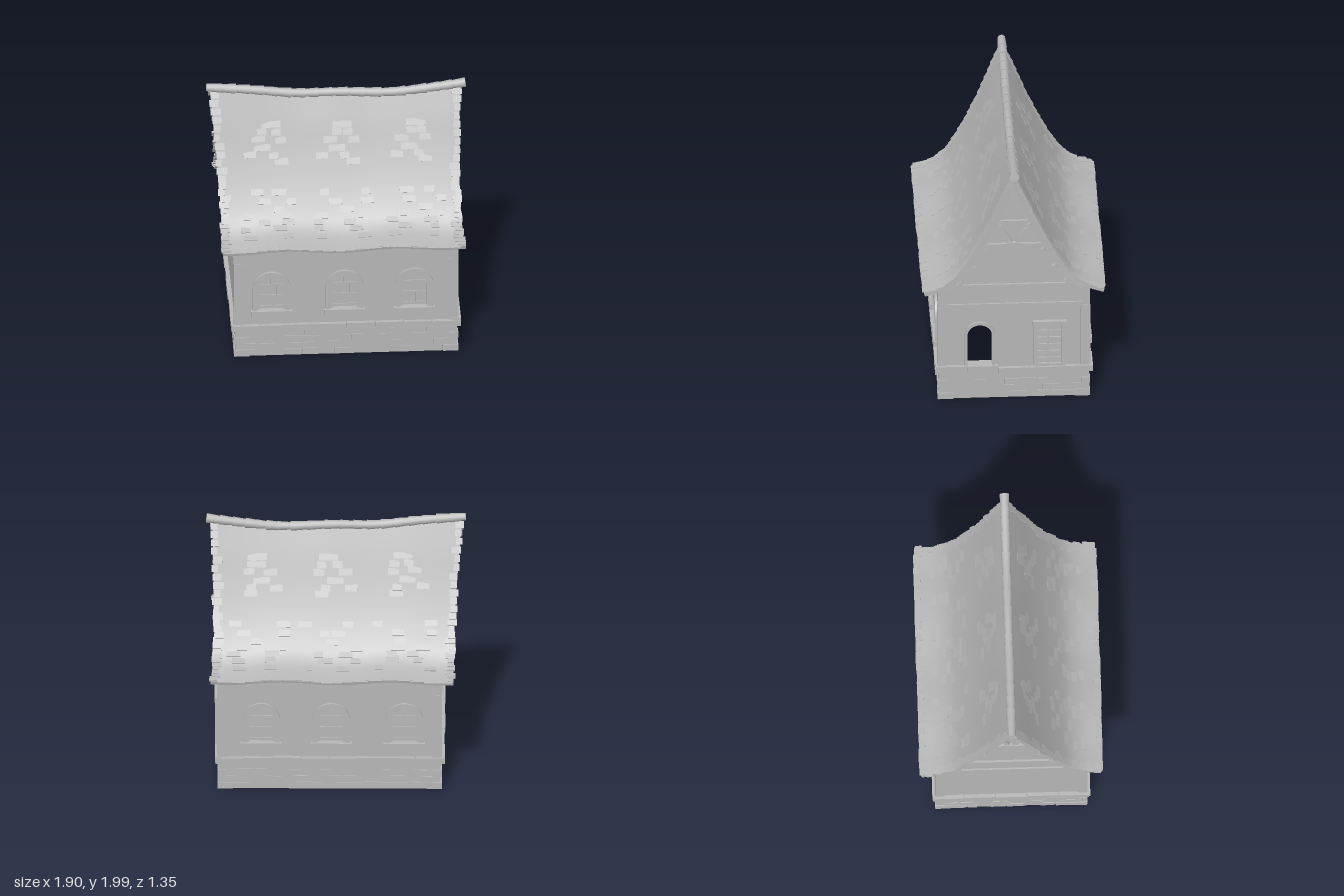
import * as THREE from 'three';
import { toCreasedNormals } from 'three/addons/utils/BufferGeometryUtils.js';

const stone = new THREE.MeshStandardMaterial({ color: 0xb6b6b6 });
stone.name = 'paleGrey';
stone.side = THREE.DoubleSide;

let seed = 7;
const rnd = (a = 0, b = 1) => {
  seed = (seed * 16807) % 2147483647;
  return a + (b - a) * (seed / 2147483647);
};
const X0 = -0.765, X1 = 0.855, CX = (X0 + X1) / 2, HZ = 0.547, THICK = 0.06;

function add(parent, geo, name, x = 0, y = 0, z = 0) {
  const m = new THREE.Mesh(geo, stone);
  m.name = name;
  m.position.set(x, y, z);
  parent.add(m);
  return m;
}
const box = (p, name, w, h, d, x, y, z) => add(p, new THREE.BoxGeometry(w, h, d), name, x, y, z);
function group(parent, name) {
  const g = new THREE.Group();
  g.name = name;
  parent.add(g);
  return g;
}

// Curves shaping the sagging roof
const v3 = (x, y, z = 0) => new THREE.Vector3(x, y, z);
const slope = new THREE.CatmullRomCurve3([[0, 1.885], [0.09, 1.692], [0.18, 1.488], [0.27, 1.306], [0.353, 1.165],
  [0.433, 1.057], [0.53, 0.99], [0.66, 0.952]].map(([z, y]) => v3(0, y, z)));
const ridge = new THREE.CatmullRomCurve3([[-0.94, 1.96], [-0.62, 1.932], [-0.3, 1.894], [0.02, 1.894], [0.4, 1.88],
  [0.64, 1.902], [0.94, 1.942]].map(([x, y]) => v3(x, y)));
const ridgeY = (x) => ridge.getPoint(THREE.MathUtils.clamp((x + 0.94) / 1.88, 0, 1)).y;
const leftEnd = (t) => -0.84 - 0.082 * (1 - t) ** 2 - 0.02 * t * t;
const rightEnd = (t) => 0.878 + 0.028 * (1 - t) ** 2 + 0.035 * t ** 4;

// Point on the front slope: t runs from ridge to eave, d is the depth below the surface
function roofPoint(x, t, d = 0) {
  const p = slope.getPoint(t), T = slope.getTangent(t);
  const w = (p.y - 0.952) / 0.933;
  p.y += (ridgeY(x) - 1.894) * w - 0.012 * Math.cos(x * 8) * t * t;
  return v3(x, p.y - d * T.z, Math.max(0, p.z + d * T.y));
}

// Slab following the slope between two depths, swept along x
function slab(d0, d1, xa, xb, nu, tEnd) {
  const nt = 20, ring = [], pos = [];
  for (let i = 0; i <= nt; i++) ring.push([tEnd * i / nt, d0]);
  for (let i = nt; i >= 0; i--) ring.push([tEnd * i / nt, d1]);
  const at = (u, k) => {
    const [t, d] = ring[k % ring.length];
    return roofPoint(THREE.MathUtils.lerp(xa(t), xb(t), u), t, d);
  };
  const quad = (a, b, c, e) => [a, b, c, a, c, e].forEach((p) => pos.push(p.x, p.y, p.z));
  for (let i = 0; i < nu; i++) for (let k = 0; k < ring.length; k++)
    quad(at(i / nu, k), at(i / nu, k + 1), at((i + 1) / nu, k + 1), at((i + 1) / nu, k));
  for (let k = 0; k < nt; k++) {
    const o = ring.length - 1 - k;
    quad(at(0, k), at(0, o), at(0, o - 1), at(0, k + 1));
    quad(at(1, k), at(1, k + 1), at(1, o - 1), at(1, o));
  }
  const g = new THREE.BufferGeometry();
  g.setAttribute('position', new THREE.Float32BufferAttribute(pos, 3));
  return toCreasedNormals(g, 0.6);
}

// Box laid on the slope, tail edge lifted
function onSlope(parent, name, x, t, w, h, len, d = 0, tilt = -0.1) {
  const T = slope.getTangent(t);
  const m = add(parent, new THREE.BoxGeometry(w, h, len), name);
  m.quaternion.setFromRotationMatrix(new THREE.Matrix4().makeBasis(v3(1, 0, 0), v3(0, T.z, -T.y), T));
  m.rotateX(tilt);
  m.position.copy(roofPoint(x, t, d));
}

function roofSide(parent, name) {
  const g = group(parent, name);
  add(g, slab(0, 0.03, leftEnd, rightEnd, 28, 1), 'roofSlab');
  add(g, slab(0.028, 0.062, (t) => leftEnd(t) + 0.02, (t) => leftEnd(t) + 0.05, 1, 0.85), 'leftBargeBoard');
  add(g, slab(0.028, 0.062, (t) => rightEnd(t) - 0.045, (t) => rightEnd(t) - 0.015, 1, 0.85), 'rightBargeBoard');
  // Shingle clusters on the upper and lower slope, heads buried in the surface
  for (const cx of [-0.5, 0.03, 0.56]) {
    for (const [row, x, w] of [[0.155, 0.04, 0.14], [0.19, 0, 0.07], [0.19, 0.1, 0.07], [0.225, -0.05, 0.1], [0.225, 0.11, 0.08],
      [0.265, 0, 0.12], [0.3, -0.1, 0.09], [0.3, 0.07, 0.07], [0.33, 0.11, 0.1]])
      onSlope(g, 'shingle', cx + x - 0.03 + rnd(-0.02, 0.02), row, w, 0.012, 0.05, 0.003, -0.12);
    for (const [row, n] of [[0.5, 2], [0.56, 2], [0.62, 1], [0.67, 2], [0.72, 2], [0.78, 2], [0.86, 2]])
      for (let i = 0; i < n; i++)
        onSlope(g, 'shingle', cx + (i - (n - 1) / 2) * 0.24 + rnd(-0.08, 0.08), row, rnd(0.06, 0.11), 0.012, 0.045, 0.002, -0.12);
  }
  // Ragged shingles along the two verges and the eave
  for (let i = 0; i < 25; i++) {
    const t = 0.03 + i * 0.039;
    const a = rnd(0.04, 0.08), b = rnd(0.04, 0.08);
    onSlope(g, 'vergeShingle', leftEnd(t) + a / 2 - rnd(0, 0.018), t, a, 0.014, 0.05, 0.003);
    onSlope(g, 'vergeShingle', rightEnd(t) - b / 2 + rnd(0, 0.015), t, b, 0.014, 0.05, 0.003);
  }
  for (let x = -0.85; x < 0.86;) {
    const w = rnd(0.05, 0.11);
    onSlope(g, 'eaveShingle', x + w / 2, 0.985, w - 0.003, 0.014, 0.045 + rnd(0, 0.012), 0.007, -0.02);
    x += w;
  }
  // Purlin ends under the verges, rafter ends under the eave
  for (const t of [0.1, 0.28, 0.44, 0.58, 0.72]) {
    onSlope(g, 'purlinEnd', -0.8, t, 0.09, 0.03, 0.035, 0.07, 0);
    onSlope(g, 'purlinEnd', 0.865, t, 0.05, 0.03, 0.035, 0.07, 0);
  }
  for (const x of [-0.5, 0.03, 0.56]) onSlope(g, 'rafterEnd', x, 0.91, 0.06, 0.03, 0.1, 0.04, 0);
  return g;
}

// Arched outline standing on y0 with its crown at y1
function arch(Type, w, y0, y1, cx = 0) {
  const r = w / 2, s = new Type();
  s.moveTo(cx - r, y0);
  s.lineTo(cx + r, y0);
  s.lineTo(cx + r, y1 - r);
  s.absarc(cx, y1 - r, r, 0, Math.PI, false);
  s.lineTo(cx - r, y0);
  return s;
}
function extrude(shape, depth) {
  return toCreasedNormals(new THREE.ExtrudeGeometry(shape, { depth, bevelEnabled: false, curveSegments: 14 }), 0.6);
}
function archRing(p, name, wo, wi, y0, y1, za, zb, cx) {
  const s = arch(THREE.Shape, wo, y0, y1, cx);
  s.holes.push(arch(THREE.Path, wi, y0 + 0.002, y1 - (wo - wi) / 2, cx));
  add(p, extrude(s, zb - za), name, 0, 0, za);
}

// Walls are drawn facing +z with the outer face at z = 0
function archedWindow(wall, cx) {
  const g = group(wall, 'archedWindow');
  archRing(g, 'outerFrame', 0.275, 0.215, 0.38, 0.708, -THICK - 0.015, 0.018, cx);
  archRing(g, 'innerFrame', 0.22, 0.175, 0.38, 0.68, -THICK, 0.006, cx);
  box(g, 'sill', 0.3, 0.045, THICK + 0.055, cx, 0.365, -THICK / 2 + 0.005);
  add(g, extrude(arch(THREE.Shape, 0.18, 0.38, 0.66, cx), 0.024), 'pane', 0, 0, -0.042);
  for (const y of [0.41, 0.5, 0.59]) box(g, 'glazingBar', 0.17, 0.01, 0.04, cx, y, -0.03);
  for (const [x, y, h] of [[0.012, 0.455, 0.09], [-0.045, 0.545, 0.09], [0.04, 0.545, 0.09], [0, 0.615, 0.06]])
    box(g, 'glazingBar', 0.01, h, 0.04, cx + x, y, -0.03);
}

// Plinth stones on both faces, ledge and corner posts shared by every wall
function masonry(wall, half, gap) {
  for (let r = 0; r < 4; r++) {
    for (let x = -half + (r % 2) * 0.05; x < half - 0.08;) {
      const w = Math.min(rnd(0.07, 0.14), half - x);
      const y = 0.03 + r * 0.053 + rnd(-0.004, 0.004), c = x + w / 2;
      if (rnd() < 0.55) {
        box(wall, 'plinthStone', w - 0.012, 0.046, 0.016, c, y, 0);
        if (Math.abs(c) < half - 0.12) box(wall, 'innerPlinthStone', w - 0.012, 0.046, 0.016, c, y, -THICK);
      }
      x += w;
    }
  }
  for (const s of [-1, 1]) {
    box(wall, 'cornerStone', 0.11, 0.05, 0.018, s * (half - 0.05), 0.025, 0);
    box(wall, 'cornerStone', 0.06, 0.05, 0.018, s * (half - 0.025), 0.13, 0);
    box(wall, 'cornerPostLower', 0.062, 0.52, 0.022, s * (half - 0.028), 0.52, 0);
    box(wall, 'cornerPostUpper', 0.054, 0.16, 0.016, s * (half - 0.026), 0.86, 0);
  }
  const n = Math.round(half * 2 / 0.2), len = (half * 2 + 0.05) / n;
  for (let i = 0; i < n; i++) {
    const x = -half - 0.025 + (i + 0.5) * len;
    const raised = gap && x < 0 ? 0.02 : 0;
    box(wall, 'ledgeStone', len - 0.006, 0.045 + raised, 0.05 + rnd(0, 0.012), x, 0.244 + raised / 2 + rnd(-0.004, 0.004), 0);
  }
}

function sideWall(parent, name, dir) {
  const g = group(parent, name), h = (X1 - X0) / 2;
  g.position.set(CX, 0, dir * HZ);
  if (dir < 0) g.rotation.y = Math.PI;
  const e = h - 0.03;
  const s = new THREE.Shape([[-e, 0], [e, 0], [e, 0.955], [-e, 0.955]].map(([x, y]) => new THREE.Vector2(x, y)));
  const centres = [-0.545, -0.012, 0.498].map((x) => x * dir);
  centres.forEach((c) => s.holes.push(arch(THREE.Path, 0.22, 0.37, 0.68, c)));
  add(g, extrude(s, THICK), 'wall', 0, 0, -THICK);
  centres.forEach((c) => archedWindow(g, c));
  masonry(g, h, false);
}

function endWall(parent, name, dir) {
  const g = group(parent, name), x = dir > 0 ? X1 : X0;
  g.position.x = x;
  g.rotation.y = dir * Math.PI / 2;
  // Outline up to the underside of the roof
  const side = [[HZ, 0], [HZ, 0.93]];
  for (let t = 0.84; t > 0.02; t -= 0.07) {
    const p = roofPoint(x, t, 0.02);
    if (p.z < HZ) side.push([p.z, p.y]);
  }
  side.push([0, roofPoint(x, 0, 0.02).y]);
  const left = side.slice(0, -1).reverse().map(([z, y]) => [-z, y]);
  const s = new THREE.Shape([...side, ...left].map(([a, b]) => new THREE.Vector2(a, b)));
  if (dir > 0) s.holes.push(arch(THREE.Path, 0.2, 0.28, 0.64, -0.25));
  add(g, extrude(s, THICK), 'gableWall', 0, 0, -THICK);
  masonry(g, HZ, dir > 0);
  // Timber framing
  box(g, 'lowerBeam', 1.0, 0.04, 0.024, 0, 0.79, 0);
  box(g, 'tieBeam', 1.04, 0.045, 0.03, 0, 0.955, 0);
  box(g, 'lowerCollar', 0.48, 0.055, 0.04, 0, 1.3, 0);
  box(g, 'collarBoss', 0.09, 0.07, 0.05, 0, 1.305, 0);
  box(g, 'upperCollar', 0.32, 0.05, 0.04, 0, 1.5, 0);
  for (const k of [-1, 1]) {
    const b = new THREE.Shape();
    b.moveTo(k * 0.005, 1.32);
    b.quadraticCurveTo(k * 0.03, 1.43, k * 0.125, 1.48);
    b.lineTo(k * 0.15, 1.455);
    b.quadraticCurveTo(k * 0.06, 1.41, k * 0.04, 1.32);
    add(g, extrude(b, 0.018), 'curvedBrace');
  }
  if (dir < 0) return;
  // Open arched doorway
  archRing(g, 'doorFrame', 0.225, 0.18, 0.275, 0.655, -THICK - 0.01, 0.02, -0.25);
  // Square leaded window
  const w = group(g, 'squareWindow');
  box(w, 'pane', 0.19, 0.36, 0.008, 0.26, 0.45, 0.002);
  for (const k of [-1, 1]) box(w, 'jamb', 0.03, 0.37, 0.05, 0.26 + k * 0.1, 0.455, 0);
  box(w, 'lintel', 0.25, 0.035, 0.06, 0.262, 0.637, 0);
  box(w, 'bottomRail', 0.2, 0.02, 0.05, 0.26, 0.283, 0);
  box(w, 'mullion', 0.014, 0.34, 0.034, 0.25, 0.45, 0);
  for (let i = 0; i < 5; i++) box(w, 'glazingBar', 0.18, 0.012, 0.034, 0.26, 0.335 + i * 0.058, 0);
}

export function createModel() {
  const model = new THREE.Group();
  model.name = 'cottage';
  sideWall(model, 'frontWall', 1);
  sideWall(model, 'backWall', -1);
  endWall(model, 'doorEnd', 1);
  endWall(model, 'plainEnd', -1);
  roofSide(model, 'frontRoof');
  roofSide(model, 'backRoof').scale.z = -1;
  // Overlapping ridge tiles, each flared over the next
  const tiles = group(model, 'ridgeTiles'), n = 19;
  for (let i = 0; i < n; i++) {
    const a = ridge.getPoint(i / n), b = ridge.getPoint((i + 1) / n), d = b.clone().sub(a);
    const r = rnd(0.027, 0.031);
    const m = add(tiles, new THREE.CylinderGeometry(r + 0.007, r, d.length() + 0.012, 14), 'ridgeTile');
    m.position.copy(a).add(b).multiplyScalar(0.5);
    m.quaternion.setFromUnitVectors(v3(0, 1, 0), d.normalize());
  }
  return model;
}
